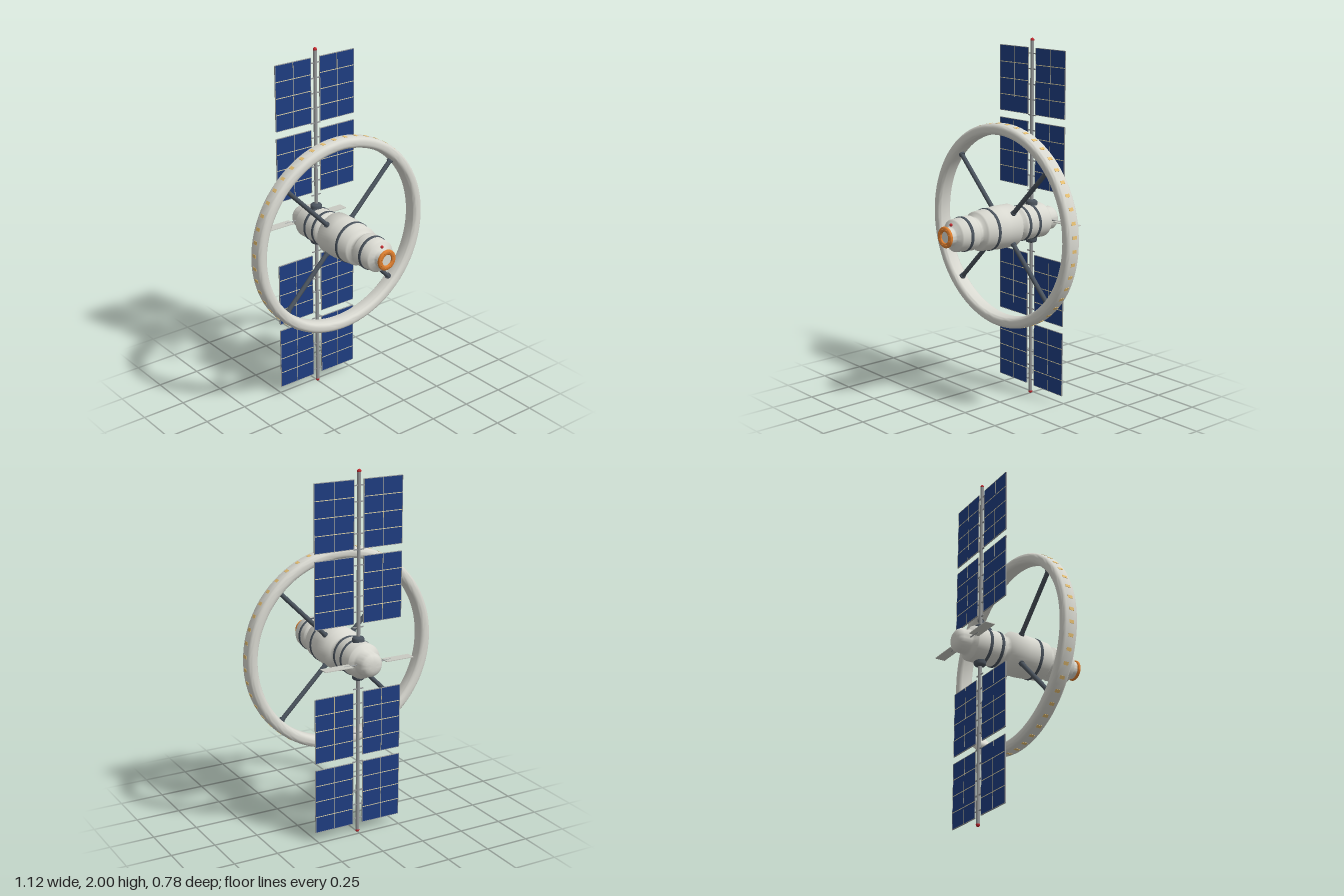
import * as THREE from 'three';
import { toCreasedNormals } from 'three/addons/utils/BufferGeometryUtils.js';

const mat = (name, color) => {
  const m = new THREE.MeshStandardMaterial({ color });
  m.name = name;
  return m;
};

export function createModel() {
  const hullMat = mat('hull white', 0xd8d8d0);
  const slate = mat('dark slate', 0x4b545e);
  const steel = mat('mast grey', 0x989b9c);
  const blue = mat('solar blue', 0x1e3d80);
  const gold = mat('grid gold', 0xe0d4a8);
  const orange = mat('docking orange', 0xe08030);
  const red = mat('beacon red', 0xc42a30);
  const yellow = mat('window yellow', 0xf0c878);
  const finMat = mat('radiator grey', 0xc8cac2);

  const model = new THREE.Group();
  model.name = 'spaceStation';
  const station = new THREE.Group(); // origin on the long axis of the hull
  station.name = 'station';
  station.position.y = 1;
  model.add(station);

  const add = (name, geo, material, x = 0, y = 0, z = 0, parent = station) => {
    const m = new THREE.Mesh(geo, material);
    m.name = name;
    m.position.set(x, y, z);
    parent.add(m);
    return m;
  };
  const box = (w, h, d) => new THREE.BoxGeometry(w, h, d);
  // Profile of [radius, z] pairs, listed from back to front, turned about z
  const turned = (pts, segs = 48) => toCreasedNormals(
    new THREE.LatheGeometry(pts.map(p => new THREE.Vector2(p[0], p[1])), segs).rotateX(Math.PI / 2), 1.1);

  // Pressurised hull
  add('hull', turned([
    [0, -0.391], [0.025, -0.39], [0.042, -0.386], [0.056, -0.376], [0.065, -0.361], [0.066, -0.315],
    [0.074, -0.305], [0.094, -0.292], [0.096, -0.286], [0.096, -0.125], [0.092, -0.115],
    [0.078, -0.107], [0.076, -0.098], [0.088, -0.083], [0.117, -0.066], [0.118, 0.022],
    [0.107, 0.16], [0.1, 0.167], [0.082, 0.175], [0.078, 0.185], [0.081, 0.197], [0.092, 0.208],
    [0.094, 0.215], [0.087, 0.318], [0.08, 0.324], [0.054, 0.336], [0.049, 0.342], [0.049, 0.373], [0, 0.373],
  ]), hullMat);

  // Dark bands round the hull
  for (const [z, r] of [[-0.21, 0.099], [-0.14, 0.099], [0.093, 0.1155], [0.262, 0.0945]]) {
    add('hullBand', turned([
      [r - 0.012, z - 0.009], [r - 0.002, z - 0.009], [r, z - 0.006],
      [r, z + 0.006], [r - 0.002, z + 0.009], [r - 0.012, z + 0.009],
    ]), slate);
  }

  // Docking port: orange ring, small latches and beacon
  add('dockingRing', turned([
    [0.047, 0.366], [0.054, 0.367], [0.057, 0.371], [0.057, 0.378], [0.053, 0.383],
    [0.034, 0.383], [0.031, 0.38], [0.031, 0.37],
  ]), orange);
  for (let i = 0; i < 8; i++) {
    const a = (i + 0.5) * Math.PI / 4;
    add('dockingLatch', new THREE.SphereGeometry(0.004, 10, 8), orange,
      Math.cos(a) * 0.044, Math.sin(a) * 0.044, 0.383);
  }
  add('frontBeacon', new THREE.SphereGeometry(0.009, 16, 12), red, 0, 0.06, 0.335);

  // Habitat ring: rounded rectangle turned about z
  const ringZ = -0.022, c = 0.024, profile = [];
  for (const [sx, sz, start] of [[1, -1, -0.5], [1, 1, 0], [-1, 1, 0.5], [-1, -1, 1]]) {
    for (let i = 0; i <= 5; i++) {
      const a = (start + i / 10) * Math.PI;
      profile.push([0.528 + sx * (0.03 - c) + Math.cos(a) * c, ringZ + sz * (0.044 - c) + Math.sin(a) * c]);
    }
  }
  profile.push(profile[0]);
  add('habitatRing', turned(profile, 96), hullMat);

  // Windows round the outer rim
  for (let i = 0; i < 48; i++) {
    const a = (i + 0.5) * Math.PI / 24;
    const w = add('rimWindow', box(0.004, 0.018, 0.028), yellow,
      Math.cos(a) * 0.5575, Math.sin(a) * 0.5575, ringZ);
    w.rotation.z = a;
  }

  // Diagonal spokes with a slim collar at each end
  for (let i = 0; i < 4; i++) {
    const spoke = new THREE.Group();
    spoke.name = 'spoke';
    spoke.position.z = ringZ;
    spoke.rotation.z = Math.PI / 4 + i * Math.PI / 2;
    station.add(spoke);
    add('spokeTube', new THREE.CylinderGeometry(0.0125, 0.0125, 0.42, 16), slate, 0, 0.3, 0, spoke);
    add('outerCollar', new THREE.CylinderGeometry(0.017, 0.017, 0.016, 16), slate, 0, 0.495, 0, spoke);
    add('innerCollar', new THREE.CylinderGeometry(0.0155, 0.0155, 0.02, 16), slate, 0, 0.117, 0, spoke);
  }

  // Solar array masts, above and below
  const mastZ = -0.228;
  for (const s of [1, -1]) {
    const array = new THREE.Group();
    array.name = s > 0 ? 'upperArray' : 'lowerArray';
    array.position.z = mastZ;
    if (s < 0) array.rotation.z = Math.PI;
    station.add(array);
    add('mast', new THREE.CylinderGeometry(0.01, 0.01, 0.93, 16), steel, 0, 0.52, 0, array);
    add('mastTip', new THREE.SphereGeometry(0.011, 16, 12), red, 0, 0.989, 0, array);
    add('mastCollar', new THREE.LatheGeometry(
      [[0.033, 0.085], [0.033, 0.108], [0.028, 0.116], [0.016, 0.121], [0, 0.121]]
        .map(p => new THREE.Vector2(...p)), 24), slate, 0, 0, 0, array);
    for (let i = 0; i < 10; i++) {
      add('crossArm', box(0.06, 0.006, 0.006), steel, 0, 0.17 + i * 0.083, 0, array);
    }
    // Two pairs of panels with their frames and cell lines
    for (const y of [0.369, 0.768]) {
      for (const side of [1, -1]) {
        const panel = new THREE.Group();
        panel.name = 'solarPanel';
        panel.position.set(side * 0.144, y, 0);
        array.add(panel);
        const W = 0.228, H = 0.358;
        add('cells', box(W, H, 0.004), blue, 0, 0, 0, panel);
        for (const e of [1, -1]) {
          add('frameSide', box(0.003, H, 0.006), steel, e * W / 2, 0, 0, panel);
          add('frameEnd', box(W, 0.003, 0.006), steel, 0, e * H / 2, 0, panel);
        }
        for (let i = -1; i <= 1; i++) {
          add('cellLine', box(W, 0.004, 0.0056), gold, 0, i * H / 4, 0, panel);
        }
        add('centreLine', box(0.003, H, 0.0052), gold, 0, 0, 0, panel);
      }
    }
  }

  // Rear radiator fins on thin rods
  for (const s of [1, -1]) {
    add('radiatorFin', box(0.164, 0.004, 0.057), finMat, s * 0.182, 0, -0.325);
    const rod = add('finRod', new THREE.CylinderGeometry(0.0035, 0.0035, 0.09, 10), steel, s * 0.096, 0, -0.325);
    rod.rotation.z = Math.PI / 2;
  }

  return model;
}
